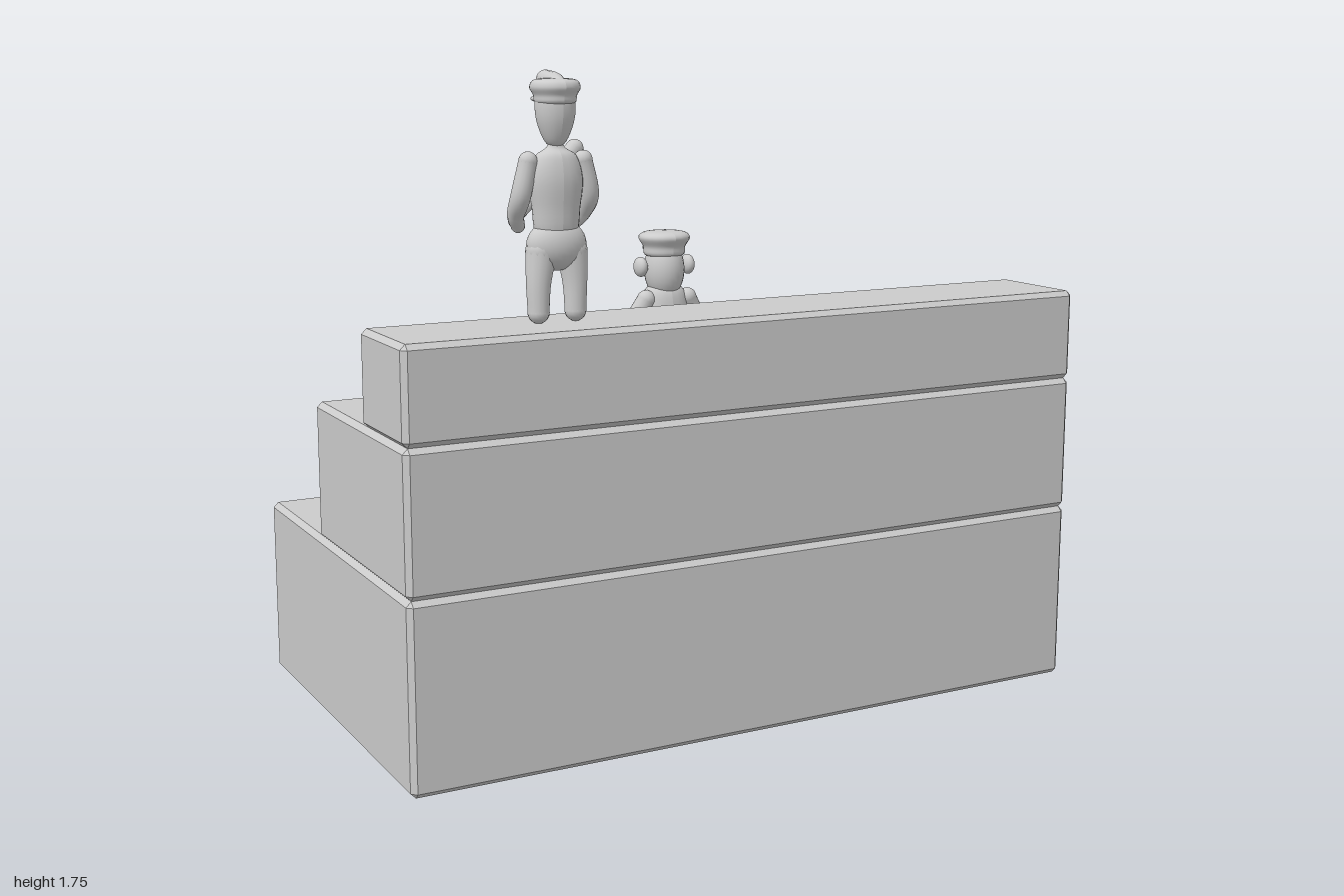
import * as THREE from 'three';
import { mergeGeometries } from 'three/addons/utils/BufferGeometryUtils.js';

const smooth = new THREE.MeshStandardMaterial({ color: 0xcccccc, side: THREE.DoubleSide });
const flat = new THREE.MeshStandardMaterial({ color: 0xcccccc, side: THREE.DoubleSide, flatShading: true });

function add(parent, name, geometry, material = smooth) {
  const mesh = new THREE.Mesh(geometry, material);
  mesh.name = name;
  parent.add(mesh);
  return mesh;
}

function group(parent, name, x, y, z) {
  const g = new THREE.Group();
  g.name = name;
  g.position.set(x, y, z);
  parent.add(g);
  return g;
}

// Bevelled box with an open underside
function stepGeometry(hx, y0, y1, z0, z1, b = 0.014) {
  const hz = (z1 - z0) / 2, zc = (z0 + z1) / 2;
  const pos = [], index = [];
  for (const [y, i] of [[y0, b], [y0 + b, 0], [y1 - b, 0], [y1, b]]) {
    for (const [sx, sz] of [[1, 1], [1, -1], [-1, -1], [-1, 1]]) {
      const side = [sx * (hx - i), y, zc + sz * (hz - b)];
      const end = [sx * (hx - b), y, zc + sz * (hz - i)];
      pos.push(...(sx * sz > 0 ? [...end, ...side] : [...side, ...end]));
    }
  }
  for (let r = 0; r < 3; r++) for (let k = 0; k < 8; k++) {
    const a = r * 8 + k, c = r * 8 + (k + 1) % 8;
    index.push(a, c, c + 8, a, c + 8, a + 8);
  }
  for (let k = 1; k < 7; k++) index.push(24, 24 + k, 25 + k);
  const g = new THREE.BufferGeometry();
  g.setAttribute('position', new THREE.Float32BufferAttribute(pos, 3));
  g.setIndex(index);
  const out = g.toNonIndexed();
  out.computeVertexNormals();
  return out;
}

// Round-ended limb through points [x, y, z, radius]
function limb(points, rings = 20, sides = 14) {
  const curve = new THREE.CatmullRomCurve3(points.map(p => new THREE.Vector3(p[0], p[1], p[2])), false, 'catmullrom');
  const radii = new THREE.SplineCurve(points.map((p, i) => new THREE.Vector2(i, p[3])));
  const tube = new THREE.TubeGeometry(curve, rings, 1, sides);
  const pos = tube.attributes.position, v = new THREE.Vector3();
  for (let i = 0; i <= rings; i++) {
    const c = curve.getPointAt(i / rings);
    const r = radii.getPoint(curve.getUtoTmapping(i / rings)).y;
    for (let j = 0; j <= sides; j++) {
      const k = i * (sides + 1) + j;
      v.fromBufferAttribute(pos, k).sub(c).multiplyScalar(r).add(c);
      pos.setXYZ(k, v.x, v.y, v.z);
    }
  }
  const caps = [points[0], points[points.length - 1]].map(p =>
    new THREE.SphereGeometry(p[3], sides, 10).translate(p[0], p[1], p[2]));
  return mergeGeometries([tube, ...caps]);
}

// Turned shape from a smooth [radius, y] profile, squashed in z
function turned(profile, sz = 1) {
  const pts = new THREE.SplineCurve(profile.map(p => new THREE.Vector2(...p))).getPoints(28);
  pts.forEach(p => { p.x = Math.max(p.x, 0); });
  const g = new THREE.LatheGeometry(pts, 24).scale(1, 1, sz);
  g.computeVertexNormals();
  return g;
}

function ball(rx, ry, rz, x, y, z) {
  return new THREE.SphereGeometry(1, 24, 16).scale(rx, ry, rz).translate(x, y, z);
}

function mirrored(parent, name, make) {
  for (const s of [1, -1]) add(parent, (s > 0 ? 'left' : 'right') + name, make(s));
}

function buildDog(root) {
  const d = group(root, 'dog', 0.56, 0.5, 0);
  add(d, 'body', limb([[0, 0.225, -0.175, 0.07], [0, 0.23, -0.23, 0.105], [0, 0.225, -0.3, 0.112], [0, 0.225, -0.36, 0.1], [0, 0.24, -0.405, 0.07]], 24, 20));
  add(d, 'neck', limb([[0, 0.245, -0.37, 0.085], [0, 0.29, -0.42, 0.065], [0, 0.335, -0.475, 0.05]]));
  add(d, 'head', limb([[0, 0.337, -0.475, 0.053], [0, 0.333, -0.515, 0.047], [0, 0.322, -0.565, 0.03], [0, 0.315, -0.605, 0.02]]));
  mirrored(d, 'Ear', s => new THREE.ConeGeometry(0.028, 0.1, 12).scale(1, 1, 0.9)
    .rotateX(0.15).rotateZ(-0.12 * s).translate(0.032 * s, 0.415, -0.468));
  mirrored(d, 'FrontLeg', s => limb([[0.07 * s, 0.2, -0.375, 0.045], [0.08 * s, 0.12, -0.39, 0.042], [0.083 * s, 0.035, -0.41, 0.034]]));
  mirrored(d, 'HindLeg', s => limb([[0.065 * s, 0.2, -0.185, 0.055], [0.08 * s, 0.12, -0.155, 0.046], [0.08 * s, 0.035, -0.138, 0.034]]));
  add(d, 'tail', limb([[0, 0.24, -0.14, 0.033], [0, 0.31, -0.068, 0.026], [0, 0.37, -0.025, 0.02], [0, 0.415, -0.058, 0.013]]));
}

function buildMonkey(root) {
  const m = group(root, 'monkey', -0.03, 0.88, 0.1);
  add(m, 'torso', turned([[0, 0.02], [0.07, 0.035], [0.078, 0.12], [0.072, 0.2], [0.055, 0.26], [0, 0.29]], 0.78));
  add(m, 'seat', ball(0.108, 0.056, 0.083, 0, 0.056, 0));
  mirrored(m, 'Leg', s => limb([[0.07 * s, 0.045, 0, 0.04], [0.075 * s, 0.04, -0.04, 0.034], [0.01 * s, 0.03, -0.055, 0.026]]));
  mirrored(m, 'Arm', s => limb([[0.065 * s, 0.235, 0.015, 0.026], [0.105 * s, 0.16, 0, 0.026], [0.108 * s, 0.1, -0.025, 0.025], [0.07 * s, 0.06, -0.055, 0.022]]));
  add(m, 'head', ball(0.056, 0.085, 0.06, 0, 0.315, 0));
  add(m, 'muzzle', ball(0.04, 0.032, 0.036, 0, 0.305, -0.045));
  mirrored(m, 'Ear', s => ball(0.018, 0.028, 0.028, 0.074 * s, 0.325, 0));
  add(m, 'cap', turned([[0, 0.35], [0.053, 0.355], [0.06, 0.38], [0.073, 0.405], [0.055, 0.42], [0, 0.424]], 0.95));
  add(m, 'capPeak', ball(0.045, 0.012, 0.035, 0, 0.372, -0.04));
}

function buildGuard(root) {
  const g = group(root, 'guard', -0.527, 1.13, 0.46);
  mirrored(g, 'Leg', s => limb([[0.042 * s, 0.18, 0, 0.04], [0.05 * s, 0.1, 0, 0.032], [0.051 * s, 0.027, 0, 0.028]]));
  add(g, 'hips', ball(0.08, 0.065, 0.05, 0, 0.195, 0));
  add(g, 'torso', turned([[0, 0.2], [0.052, 0.22], [0.064, 0.29], [0.071, 0.36], [0.055, 0.415], [0.022, 0.44], [0.022, 0.48]], 0.68));
  add(g, 'head', turned([[0, 0.435], [0.026, 0.45], [0.047, 0.5], [0.051, 0.55], [0.04, 0.59], [0, 0.61]], 0.95));
  add(g, 'nose', ball(0.013, 0.02, 0.024, 0, 0.51, -0.05));
  // Hat leans forward over a short peak
  add(g, 'hat', turned([[0, 0.54], [0.047, 0.545], [0.054, 0.565], [0.063, 0.585], [0.05, 0.603], [0, 0.607]], 1.05));
  add(g, 'hatPeak', ball(0.045, 0.011, 0.04, 0, 0.555, -0.042));
  add(g, 'hatCrown', limb([[0, 0.588, 0.05, 0.012], [0, 0.595, 0, 0.025], [0, 0.602, -0.055, 0.024]]));
  mirrored(g, 'Arm', s => limb([[0.075 * s, 0.405, 0, 0.024], [0.093 * s, 0.32, -0.005, 0.026], [0.092 * s, 0.27, -0.04, 0.022], [0.077 * s, 0.24, -0.062, 0.018]]));
  add(g, 'bat', limb([[-0.085, 0.25, -0.072, 0.013], [0, 0.335, -0.078, 0.02], [0.092, 0.428, -0.085, 0.023]]));
}

function buildBowl(root) {
  const b = group(root, 'bowl', -0.63, 0.5, -0.28);
  const profile = [[0, 0.083], [0.06, 0.088], [0.11, 0.108], [0.15, 0.14], [0.172, 0.18], [0.174, 0.2], [0.158, 0.21], [0.148, 0.205], [0.142, 0.17]];
  add(b, 'shell', new THREE.LatheGeometry(profile.map(p => new THREE.Vector2(...p)), 18));
  add(b, 'basin', new THREE.CircleGeometry(0.143, 18).rotateX(-Math.PI / 2).translate(0, 0.172, 0));
  for (let i = 0; i < 3; i++) {
    const a = i * Math.PI * 2 / 3, x = -Math.sin(a), z = -Math.cos(a);
    add(b, 'foot' + (i + 1), limb([[x * 0.09, 0.105, z * 0.09, 0.021], [x * 0.1, 0.06, z * 0.1, 0.017], [x * 0.114, 0.008, z * 0.114, 0.008]], 10, 10));
  }
}

export function createModel() {
  const root = new THREE.Group();
  root.name = 'steppedDisplay';
  // Three stacked steps, flush at the front
  add(root, 'lowerStep', stepGeometry(1, 0.005, 0.505, -0.5, 0.62), flat);
  add(root, 'middleStep', stepGeometry(1, 0.505, 0.88, -0.055, 0.62), flat);
  add(root, 'upperStep', stepGeometry(1, 0.88, 1.13, 0.32, 0.62), flat);
  add(root, 'plaque', new THREE.BoxGeometry(0.62, 0.15, 0.02).translate(0, 0.275, -0.504), flat);
  buildDog(root);
  buildMonkey(root);
  buildGuard(root);
  buildBowl(root);
  return root;
}
